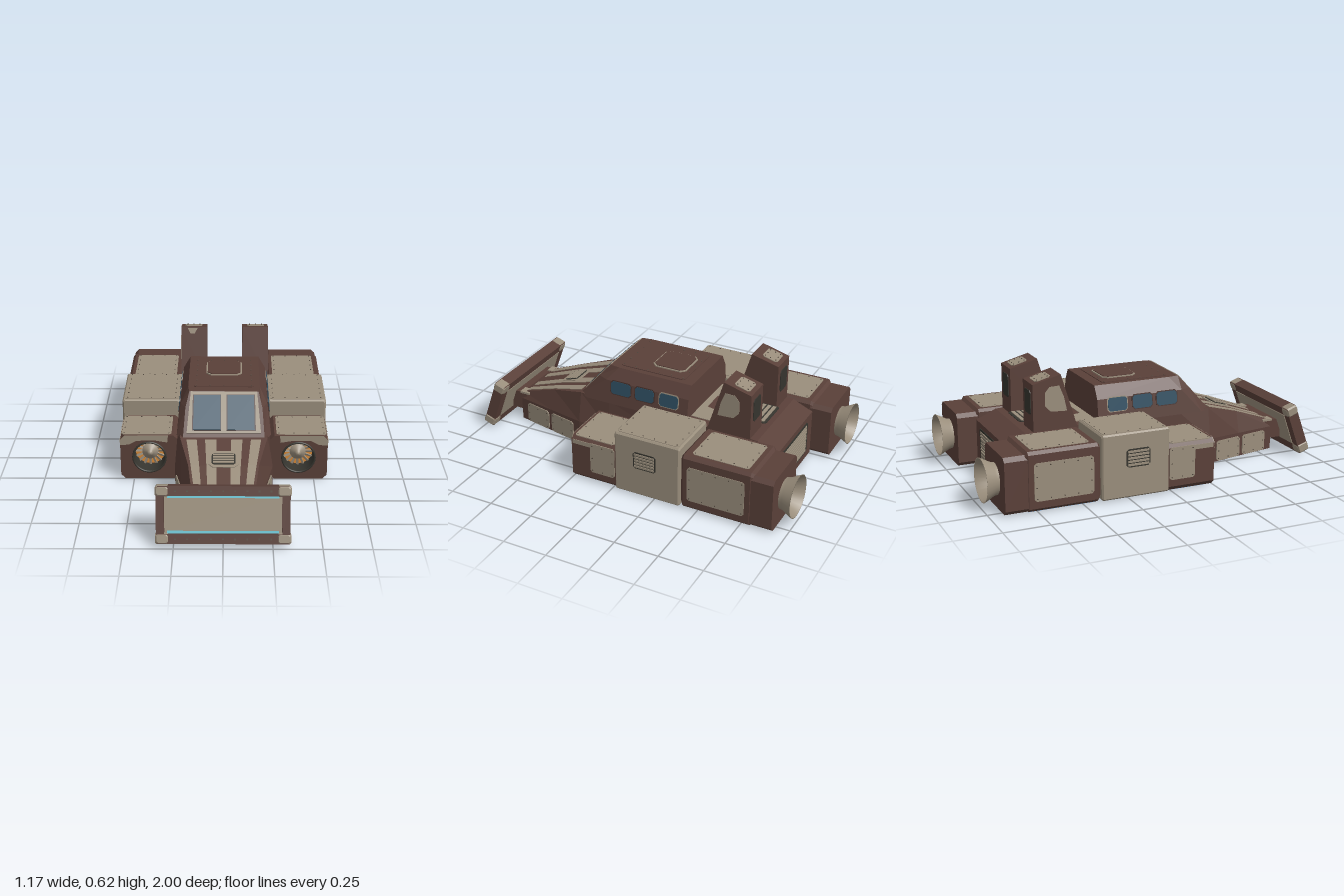
import * as THREE from 'three';
import { mergeGeometries } from 'three/addons/utils/BufferGeometryUtils.js';

const mat = (name, color) => Object.assign(new THREE.MeshStandardMaterial({ color, side: THREE.DoubleSide }), { name });

export function createModel() {
  const brown = mat('brown armour', 0x5a4039), tan = mat('tan armour', 0x9a8e7c), dark = mat('dark metal', 0x36352f);
  const glass = mat('glass', 0x2f4f62), cyan = mat('cyan light', 0x6cc5d4), orange = mat('orange glow', 0xd98a38);
  const belly = mat('belly blue', 0x6092c4), shade = mat('dark brown', 0x46302b), rivetMat = mat('rivet', 0x574d43);
  const root = new THREE.Group();
  root.name = 'armouredHoverRover';

  const add = (name, geo, m, x = 0, y = 0, z = 0, parent = root) => {
    const mesh = new THREE.Mesh(geo, m);
    mesh.name = name;
    mesh.position.set(x, y, z);
    parent.add(mesh);
    return mesh;
  };
  const box = (name, w, h, d, m, x, y, z, parent) => add(name, new THREE.BoxGeometry(w, h, d), m, x, y, z, parent);

  // Flat-faced skin over rings of [x, y, z], counter-clockwise seen from the last ring
  const loft = (rings) => {
    const pos = [], tri = (...p) => p.forEach((v) => pos.push(...v));
    const n = rings[0].length, last = rings[rings.length - 1];
    for (let i = 0; i < rings.length - 1; i++) for (let j = 0; j < n; j++) {
      const k = (j + 1) % n, a = rings[i], b = rings[i + 1];
      tri(a[j], a[k], b[k]);
      tri(a[j], b[k], b[j]);
    }
    for (let j = 1; j < n - 1; j++) {
      tri(rings[0][0], rings[0][j + 1], rings[0][j]);
      tri(last[0], last[j], last[j + 1]);
    }
    const g = new THREE.BufferGeometry();
    g.setAttribute('position', new THREE.Float32BufferAttribute(pos, 3));
    g.computeVertexNormals();
    return g;
  };
  const octagon = (w, h, c) => [[w, c - h], [w, h - c], [w - c, h], [c - w, h], [-w, h - c], [-w, c - h], [c - w, -h], [w - c, -h]];
  const chamferBox = (w, h, d, c) => loft([[-d / 2, c], [c - d / 2, 0], [d / 2 - c, 0], [d / 2, c]]
    .map(([z, i]) => octagon(w / 2 - i, h / 2 - i, c).map(([x, y]) => [x, y, z])));
  const polygon = (pts) => new THREE.Shape(pts.map(([x, y]) => new THREE.Vector2(x, y)));
  const extrude = (shape, depth) => new THREE.ExtrudeGeometry(shape, { depth, bevelEnabled: false, curveSegments: 14 });
  const plate = (w, h, t = 0.005, c = 0.012) => extrude(polygon(octagon(w / 2, h / 2, c)), t);
  const boredBlock = (w, h, c, r, depth) => {
    const shape = polygon(octagon(w / 2, h / 2, c));
    shape.holes.push(new THREE.Path().absarc(0, 0, r, 0, Math.PI * 2, true));
    return extrude(shape, depth);
  };
  const lathe = (pts) => new THREE.LatheGeometry(pts.map(([r, h]) => new THREE.Vector2(r, h)), 32);
  const disc = (r) => new THREE.CylinderGeometry(r, r, 0.008, 32).rotateX(Math.PI / 2);

  // Places an object so that its +z follows the normal n
  const place = (o, p, n) => {
    o.position.set(...p);
    if (Math.abs(n[1]) > 0.99) o.rotation.x = -Math.sign(n[1]) * Math.PI / 2;
    else o.lookAt(p[0] + n[0], p[1] + n[1], p[2] + n[2]);
    root.add(o);
    return o;
  };
  // Riveted armour panel
  const panel = (name, w, h, p, n, m = tan) => {
    const g = new THREE.Group();
    g.name = name;
    add('plate', plate(w, h), m, 0, 0, 0, g);
    const dots = [], a = w / 2 - 0.014, b = h / 2 - 0.014;
    const nx = Math.max(2, Math.round(w / 0.08)), ny = Math.max(2, Math.round(h / 0.08));
    for (let i = 0; i <= nx; i++) for (let j = 0; j <= ny; j++) {
      if (i % nx && j % ny) continue;
      dots.push(new THREE.CylinderGeometry(0.0035, 0.0035, 0.004, 6).rotateX(Math.PI / 2)
        .translate(a * (2 * i / nx - 1), b * (2 * j / ny - 1), 0.006));
    }
    add('rivets', mergeGeometries(dots), rivetMat, 0, 0, 0, g);
    return place(g, p, n);
  };
  // Dark louvre with slats
  const vent = (name, w, h, count, p, n) => {
    const g = new THREE.Group();
    g.name = name;
    add('backing', plate(w, h, 0.004), dark, 0, 0, 0, g);
    for (let i = 0; i < count; i++)
      box('slat', w * 0.88, h * 0.58 / count, 0.006, tan, 0, h * 0.9 * ((i + 0.5) / count - 0.5), 0.005, g);
    return place(g, p, n);
  };

  // Main hull: [z, side width, shoulder height, deck width, deck height]
  const hull = [[-0.815, 0.255, 0.15, 0.255, 0.27], [-0.7, 0.255, 0.15, 0.255, 0.32], [-0.28, 0.255, 0.15, 0.255, 0.335],
    [0.2, 0.26, 0.15, 0.25, 0.325], [0.39, 0.265, 0.15, 0.235, 0.325], [0.6, 0.22, 0.145, 0.185, 0.264], [0.84, 0.17, 0.14, 0.155, 0.178]];
  add('hull', loft(hull.map(([z, w, s, t, y]) =>
    [[w, 0.006, z], [w, s, z], [t, y, z], [-t, y, z], [-w, s, z], [-w, 0.006, z]])), brown);

  // Nose stripes
  const stripe = (x0, x1, x2, x3) => {
    const zs = [0.41, 0.6, 0.81], ys = [0.3205, 0.265, 0.19];
    add('noseStripe', loft(zs.map((z, i) => {
      const a = x0 + (x2 - x0) * i / 2, b = x1 + (x3 - x1) * i / 2, y = ys[i];
      return [[b, y - 0.003, z], [b, y + 0.002, z], [a, y + 0.002, z], [a, y - 0.003, z]];
    })), tan);
  };
  [[0.04, 0.1, 0.035, 0.08], [0.145, 0.2, 0.11, 0.145]].forEach(([a, b, c, d]) => {
    stripe(a, b, c, d);
    stripe(-b, -a, -d, -c);
  });
  place(add('noseVentFrame', plate(0.155, 0.12, 0.006, 0.02), tan), [0, 0.2765, 0.56], [0, 0.96, 0.28]);
  vent('noseVent', 0.125, 0.085, 4, [0, 0.2815, 0.5615], [0, 0.96, 0.28]);

  // Cabin: [height, front width, side width, front z]
  const cabin = [[0.315, 0.22, 0.255, 0.399], [0.45, 0.208, 0.236, 0.281], [0.52, 0.188, 0.196, 0.22]];
  add('cabin', loft(cabin.map(([y, f, w, z]) =>
    [[f, y, z], [w, y, z - 0.06], [w, y, -0.285], [-w, y, -0.285], [-w, y, z - 0.06], [-f, y, z]])), brown);

  // Windshield
  const shield = new THREE.Group();
  shield.name = 'windshield';
  add('windshieldFrame', extrude(polygon([[-0.2, -0.115], [0.2, -0.115], [0.18, 0.12], [-0.18, 0.12]]), 0.005), tan, 0, 0, 0, shield);
  for (const s of [1, -1]) {
    add('windshieldGasket', extrude(polygon([[s * 0.015, -0.102], [s * 0.172, -0.102], [s * 0.168, 0.102], [s * 0.015, 0.102]]), 0.002), shade, 0, 0, 0.005, shield);
    add('windshieldPane', extrude(polygon([[s * 0.019, -0.097], [s * 0.166, -0.097], [s * 0.162, 0.097], [s * 0.019, 0.097]]), 0.002), glass, 0, 0, 0.007, shield);
  }
  place(shield, [0, 0.428, 0.3], [0, 0.657, 0.754]);

  // Roof plate and hatch
  panel('roofPlate', 0.33, 0.39, [0, 0.519, -0.03], [0, 1, 0], brown);
  add('hatchRim', plate(0.2, 0.2, 0.006, 0.025), tan, 0, 0.524, -0.09).rotation.x = -Math.PI / 2;
  add('hatch', plate(0.185, 0.185, 0.01, 0.022), brown, 0, 0.524, -0.09).rotation.x = -Math.PI / 2;

  // Rear deck details
  const deckPaint = polygon([[-0.2, 0.27], [0.2, 0.27], [0.2, 0.4], [0.14, 0.41], [0.085, 0.39], [0.07, 0.32], [-0.07, 0.32], [-0.085, 0.39], [-0.14, 0.41], [-0.2, 0.4]]);
  add('deckPaint', extrude(deckPaint, 0.004).rotateX(-Math.PI / 2).scale(1, 1, 1), tan, 0, 0.333, 0);
  vent('deckVent', 0.2, 0.2, 6, [0, 0.337, -0.58], [0, 1, 0]);
  vent('rearGrille', 0.37, 0.19, 9, [0, 0.145, -0.815], [0, 0, -1]);

  for (const s of [1, -1]) {
    const cx = s * 0.4125;

    // Cabin side windows and nose panels
    for (const [z, w, m] of [[0.125, 0.122, shade], [-0.022, 0.115, shade], [-0.17, 0.112, tan]]) {
      const n = [s, 0.133, 0];
      place(add('windowFrame', plate(w + 0.01, 0.084, 0.003, 0.014), m), [s * 0.242, 0.417, z], n);
      place(add('sideWindow', plate(w, 0.074, 0.003, 0.012), glass), [s * 0.2442, 0.417, z], n);
    }
    for (const [z, w] of [[0.708, 0.17], [0.52, 0.172]])
      panel('nosePanel', w, 0.118, [s * (0.265 - 0.211 * (z - 0.39)), 0.068, z], [s, 0, 0.211]);

    // Front intake with recessed fan
    add('intakeHousing', boredBlock(0.32, 0.264, 0.025, 0.09, 0.28), brown, cx, 0.134, -0.03);
    add('intakeLiner', new THREE.CylinderGeometry(0.0895, 0.0835, 0.09, 32, 1, true).rotateX(Math.PI / 2), dark, cx, 0.134, 0.205);
    add('intakeRing', new THREE.TorusGeometry(0.09, 0.006, 8, 32), dark, cx, 0.134, 0.25);
    add('intakeGlow', disc(0.085), orange, cx, 0.134, 0.15);
    for (let i = 0; i < 16; i++) {
      const fin = new THREE.BoxGeometry(0.013, 0.048, 0.006).rotateY(0.4).translate(0, 0.06, 0).rotateZ(i * Math.PI / 8);
      add('fanBlade', fin, tan, cx, 0.134, 0.168);
    }
    add('fanHub', lathe([[0.046, -0.01], [0.044, 0.01], [0.016, 0.02], [0.014, 0.035], [0, 0.038]]).rotateX(Math.PI / 2), tan, cx, 0.134, 0.17);
    panel('intakeTop', 0.275, 0.24, [s * 0.427, 0.263, 0.115], [0, 1, 0]);
    panel('intakeSide', 0.15, 0.18, [s * 0.571, 0.155, 0.06], [s, 0, 0]);
    place(add('intakeSideStrip', plate(0.24, 0.025, 0.003, 0.004), tan), [s * 0.5715, 0.23, 0.125], [s, 0, 0]);
    const paint = [[-0.1, 0.225], [-0.03, 0.237], [0.07, 0.235], [0.11, 0.212], [0.16, 0.208], [0.16, 0.241], [0.135, 0.266], [-0.105, 0.266]];
    add('intakePaint', extrude(polygon(paint.map(([x, y]) => [s * x, y])), 0.003), tan, cx, 0, 0.249);

    // Engine pod: tan middle, brown rear, end cap
    add('podMiddle', chamferBox(0.33, 0.355, 0.385, 0.008), tan, cx, 0.1835, -0.21);
    panel('podTop', 0.3, 0.36, [cx, 0.359, -0.21], [0, 1, 0]);
    vent('podVent', 0.135, 0.1, 5, [s * 0.576, 0.222, -0.198], [s, 0, 0]);
    add('podRear', chamferBox(0.32, 0.32, 0.41, 0.016), brown, cx, 0.166, -0.61);
    panel('rearTopPanel', 0.25, 0.32, [cx, 0.324, -0.615], [0, 1, 0]);
    panel('rearSidePanel', 0.325, 0.205, [s * 0.5705, 0.163, -0.608], [s, 0, 0]);
    add('podCap', boredBlock(0.315, 0.304, 0.022, 0.08, 0.13), brown, cx, 0.158, -0.925);

    // Deep exhaust nozzle
    const bell = [[0.068, -0.085], [0.079, 0], [0.113, 0.077], [0.118, 0.077], [0.088, 0.02], [0.084, -0.005]];
    add('nozzle', lathe(bell).rotateX(-Math.PI / 2), tan, cx, 0.158, -0.923);
    add('nozzleGlow', disc(0.069), orange, cx, 0.158, -0.842);
    add('nozzleCore', new THREE.ConeGeometry(0.04, 0.04, 20).rotateX(-Math.PI / 2), dark, cx, 0.158, -0.862);

    // Raked stack
    const side = [[0.58, -0.658], [0.622, -0.5], [0.31, -0.405], [0.31, -0.658]];
    const ends = s > 0 ? [0.105, 0.258] : [-0.258, -0.105];
    add('stack', loft(ends.map((x) => side.map(([y, z]) => [x, y, z]))), brown);
    panel('stackCap', 0.1, 0.09, [s * 0.185, 0.597, -0.59], [0, 0.965, -0.257]);
    place(add('stackOpening', plate(0.09, 0.13, 0.004, 0.012), dark), [s * 0.182, 0.475, -0.658], [0, 0, -1]);
    const patch = [[0.468, 0.42], [0.56, 0.425], [0.592, 0.46], [0.59, 0.53], [0.565, 0.56], [0.51, 0.562], [0.485, 0.5]];
    add('stackPaint', extrude(polygon(patch), 0.003), tan, s > 0 ? 0.257 : -0.26, 0, 0).rotation.y = Math.PI / 2;

    // Blade mount pads
    box('mountPad', 0.055, 0.012, 0.06, tan, s * 0.15, 0.182, 0.815);

    // Pod underside
    for (const [z, d] of [[0.115, 0.2], [-0.21, 0.33], [-0.51, 0.17], [-0.71, 0.17]])
      box('podBelly', 0.265, 0.006, d, belly, cx, 0.003, z);
    box('bellySeam', 0.024, 0.006, 1.05, rivetMat, s * 0.258, 0.003, -0.28);
  }
  place(add('stackFrontPaint', extrude(polygon([[-0.03, 0.02], [-0.012, -0.015], [0.012, -0.015], [0.03, 0.02]]), 0.003), tan), [-0.19, 0.597, -0.4925], [0, 0.291, 0.957]);
  box('bladeMount', 0.34, 0.11, 0.1, brown, 0, 0.125, 0.855);

  // Hull underside
  const keel = polygon([[-0.24, -0.79], [0.24, -0.79], [0.24, 0.4], [0.15, 0.81], [-0.15, 0.81], [-0.24, 0.4]]);
  add('hullBelly', extrude(keel, 0.003).rotateX(Math.PI / 2), belly, 0, 0.006, 0);
  box('keelStrip', 0.02, 0.005, 0.95, shade, 0, 0.0025, 0.26);
  for (const z of [0.42, -0.02, -0.4, -0.61]) box('bellyStrip', 0.48, 0.005, 0.022, shade, 0, 0.0025, z);

  // Tilted front blade
  const blade = new THREE.Group();
  blade.name = 'frontBlade';
  blade.position.set(0, 0.157, 0.923);
  blade.rotation.x = -0.345;
  root.add(blade);
  box('bladeBack', 0.67, 0.285, 0.03, brown, 0, 0, -0.015, blade);
  box('bladeRearPanel', 0.56, 0.19, 0.006, tan, 0, 0, -0.031, blade);
  box('bladePanel', 0.59, 0.19, 0.006, tan, 0, 0, 0.003, blade);
  for (const s of [1, -1]) {
    box('bladeRail', 0.66, 0.05, 0.064, brown, 0, s * 0.121, 0, blade);
    box('bladeSide', 0.04, 0.28, 0.062, brown, s * 0.316, 0, 0, blade);
    box('bladeLight', 0.56, 0.011, 0.012, cyan, 0, s * 0.089, 0.01, blade);
    for (const t of [1, -1]) add('bladeCorner', chamferBox(0.07, 0.055, 0.07, 0.008), tan, s * 0.306, t * 0.12, 0, blade);
    for (let i = -4; i <= 4; i++)
      box('bladeBolt', 0.009, 0.009, 0.004, rivetMat, i * 0.06, s * 0.121, 0.032, blade);
  }
  return root;
}
